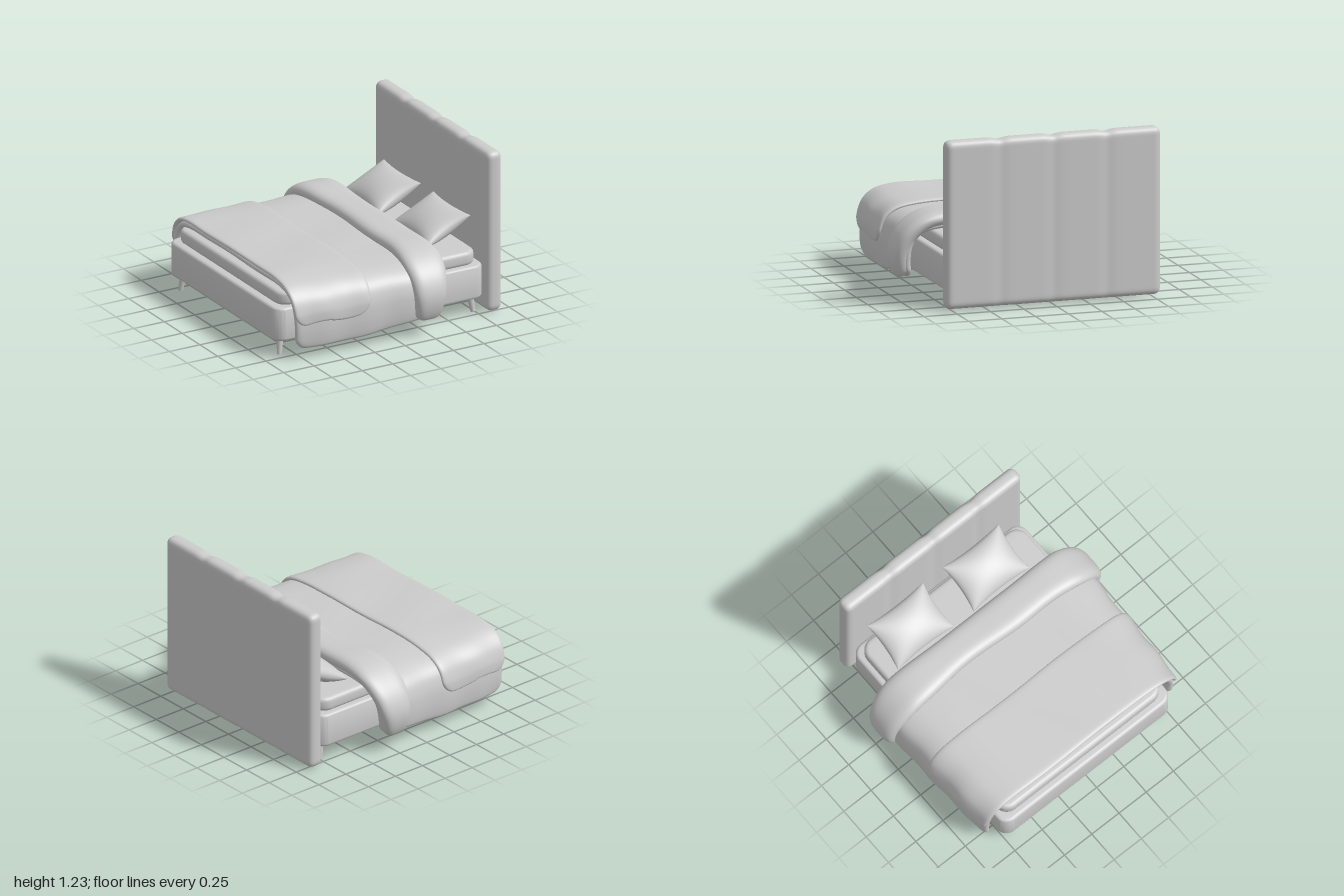
import * as THREE from 'three';
import { mergeVertices, toCreasedNormals } from 'three/addons/utils/BufferGeometryUtils.js';

const material = new THREE.MeshStandardMaterial({ color: 0xcccccc });

function add(parent, name, geometry, x = 0, y = 0, z = 0) {
  const mesh = new THREE.Mesh(geometry, material);
  mesh.name = name;
  mesh.position.set(x, y, z);
  parent.add(mesh);
  return mesh;
}

// Move every vertex by a rule, then smooth the whole surface
function warped(geometry, rule) {
  geometry.deleteAttribute('uv');
  geometry.deleteAttribute('normal');
  const merged = mergeVertices(geometry, 1e-5);
  const pos = merged.attributes.position;
  const p = new THREE.Vector3();
  for (let i = 0; i < pos.count; i++) {
    p.fromBufferAttribute(pos, i);
    rule(p);
    pos.setXYZ(i, p.x, p.y, p.z);
  }
  const welded = mergeVertices(merged, 1e-5);
  welded.computeVertexNormals();
  return welded;
}

// Flat slab with rounded plan corners and bevelled rims, standing on y = 0
function slab(width, height, depth, radius, bevel) {
  const w = width / 2 - bevel, d = depth / 2 - bevel, r = radius - bevel;
  const shape = new THREE.Shape();
  shape.absarc(w - r, d - r, r, 0, Math.PI / 2);
  shape.absarc(-w + r, d - r, r, Math.PI / 2, Math.PI);
  shape.absarc(-w + r, -d + r, r, Math.PI, Math.PI * 1.5);
  shape.absarc(w - r, -d + r, r, Math.PI * 1.5, Math.PI * 2);
  const g = new THREE.ExtrudeGeometry(shape, {
    depth: height - 2 * bevel, bevelEnabled: true, bevelSize: bevel,
    bevelThickness: bevel, bevelSegments: 4, curveSegments: 8,
  });
  g.rotateX(-Math.PI / 2).translate(0, bevel, 0);
  return toCreasedNormals(g, 0.7);
}

// Padded cloth laid across the bed: half = outer [z, y] points from middle to hem.
// A flattened ring spanning x0..x1 is swept along the mirrored path.
function drape({ half, x0, x1, thick, flat, round, rule }) {
  const side = half.map(([z, y]) => new THREE.Vector3(0, y, z));
  const mirror = side.slice(1).reverse().map((p) => new THREE.Vector3(0, p.y, -p.z));
  const curve = new THREE.CatmullRomCurve3([...mirror, ...side]);
  const length = curve.getLength(), rows = 110, ring = 64;
  const positions = [], index = [];
  for (let i = 0; i <= rows; i++) {
    const u = (1 - Math.cos((Math.PI * i) / rows)) / 2;
    const c = curve.getPointAt(u), t = curve.getTangentAt(u);
    const toEnd = Math.min(u, 1 - u) * length;
    const taper = (r) => Math.sqrt(Math.max(0, 1 - Math.max(0, 1 - toEnd / r) ** 2));
    const inset = round * (1 - taper(round));
    const h = (thick / 2) * taper(thick / 2);
    for (let j = 0; j < ring; j++) {
      const a = (2 * Math.PI * j) / ring;
      const cos = Math.cos(a);
      const bulge = Math.sqrt(Math.max(0, 1 - Math.abs(cos) ** flat)) * Math.sign(Math.sin(a));
      const off = h * bulge - thick / 2;
      const p = new THREE.Vector3((x0 + x1) / 2 + cos * ((x1 - x0) / 2 - inset),
        c.y + t.z * off, c.z - t.y * off);
      rule(p);
      positions.push(p.x, p.y, p.z);
      if (i < rows) {
        const k = i * ring + j, n = i * ring + ((j + 1) % ring);
        index.push(k, n, k + ring, n, n + ring, k + ring);
      }
    }
  }
  const g = new THREE.BufferGeometry();
  g.setAttribute('position', new THREE.Float32BufferAttribute(positions, 3));
  g.setIndex(index);
  g.computeVertexNormals();
  return g;
}

const { clamp, smoothstep } = THREE.MathUtils;

// Sides flare toward the head end, with a slight ripple
function flare(p) {
  const amount = smoothstep(Math.abs(p.z), 0.55, 0.85);
  p.z += Math.sign(p.z) * amount * (0.05 * clamp(p.x + 0.8, 0, 1) + 0.005 * Math.sin(p.x * 19));
  p.y += 0.003 * Math.sin(p.z * 9 + p.x * 5);
}

export function createModel() {
  const bed = new THREE.Group();
  bed.name = 'bed';

  // Frame, mattress and splayed legs
  add(bed, 'base', slab(1.72, 0.255, 1.55, 0.09, 0.025), -0.06, 0.12, -0.005);
  add(bed, 'mattress', slab(1.63, 0.105, 1.47, 0.1, 0.03), -0.055, 0.372, -0.005);
  for (const x of [-0.845, 0.73]) {
    for (const z of [-0.69, 0.68]) {
      const leg = add(bed, 'leg', new THREE.CylinderGeometry(0.026, 0.018, 0.14, 16), x, 0.07, z);
      leg.rotation.set(-Math.sign(z) * 0.12, 0, Math.sign(x) * 0.12);
    }
  }

  // Padded headboard with shallow vertical channels
  const r = 0.045, size = new THREE.Vector3(0.12, 1.22, 1.61);
  const core = size.clone().multiplyScalar(0.5).subScalar(r);
  const board = warped(new THREE.BoxGeometry(size.x, size.y, size.z, 8, 72, 96), (p) => {
    const inner = p.clone().clamp(core.clone().negate(), core);
    p.sub(inner).setLength(p.length() > 1e-6 ? r : 0).add(inner);
    let pinch = 0;
    for (const seam of [-0.4, 0, 0.4]) pinch += Math.exp(-(((p.z - seam) / 0.045) ** 2));
    p.x *= 1 - 0.12 * pinch;
    if (p.y > 0) p.y -= 0.012 * pinch * smoothstep(p.y, 0.4, 0.6);
  });
  add(bed, 'headboard', board, 0.86, 0.62, -0.005);

  // Duvet hanging low on both sides
  add(bed, 'duvet', drape({
    half: [[0, 0.542], [0.35, 0.542], [0.62, 0.535], [0.75, 0.505], [0.83, 0.44],
      [0.868, 0.34], [0.878, 0.23], [0.872, 0.13], [0.86, 0.07]],
    x0: -0.825, x1: 0.39, thick: 0.06, flat: 30, round: 0.09,
    rule: (p) => {
      const low = clamp((0.5 - p.y) / 0.4, 0, 1);
      p.x += low * (p.x > 0 ? -0.12 * p.x : 0.02 * -p.x);
      p.y += 0.055 * low * smoothstep(p.x, -0.4, 0.35);
      flare(p);
    },
  }));

  // Turned-back top of the duvet
  add(bed, 'duvetFold', drape({
    half: [[0, 0.612], [0.35, 0.614], [0.62, 0.617], [0.76, 0.592], [0.87, 0.53], [0.95, 0.44],
      [0.993, 0.32], [0.985, 0.21], [0.95, 0.13], [0.91, 0.105]],
    x0: 0.1, x1: 0.42, thick: 0.12, flat: 4, round: 0.09,
    rule: (p) => {
      const low = clamp((0.55 - p.y) / 0.4, 0, 1);
      const edge = clamp((p.x - 0.1) / 0.32, 0, 1);
      const middle = 1 - smoothstep(Math.abs(p.z), 0.3, 0.9);
      p.x += (1 - edge) * (0.035 * middle + 0.012 * Math.sin(p.z * 7 + 3) * middle + 0.03 * low);
      p.x -= edge * (0.085 * low + 0.008 * middle);
      p.y += 0.003 * Math.sin(p.z * 8);
    },
  }));

  // Throw blanket across the foot end
  add(bed, 'throwBlanket', drape({
    half: [[0, 0.566], [0.35, 0.566], [0.63, 0.559], [0.765, 0.527], [0.85, 0.455],
      [0.888, 0.36], [0.893, 0.31], [0.892, 0.265]],
    x0: -0.838, x1: -0.22, thick: 0.034, flat: 24, round: 0.1,
    rule: (p) => {
      const low = clamp((0.5 - p.y) / 0.23, 0, 1);
      p.y += low * 0.012 * Math.sin(p.x * 14 + 4);
      p.x += 0.02 * low * (p.x < -0.53 ? 1 : -0.5) + 0.004 * Math.sin(p.z * 6);
      flare(p);
    },
  }));

  // Pillows with pinched corners, leaning on the headboard
  for (const z of [-0.385, 0.31]) {
    const cushion = warped(new THREE.BoxGeometry(2, 2, 2, 24, 1, 24), (p) => {
      const u = Math.sin((p.x * Math.PI) / 2), v = Math.sin((p.z * Math.PI) / 2);
      const puff = Math.max(0, (1 - u * u) * (1 - v * v));
      p.set(u * 0.195 * (1 - 0.09 * (1 - v * v)),
        p.y * 0.09 * puff ** 0.45 + 0.012 * u * u * v * v,
        v * 0.26 * (1 - 0.08 * (1 - u * u)));
    });
    add(bed, 'pillow', cushion, 0.617, 0.587, z).rotation.z = 0.45;
  }

  return bed;
}
